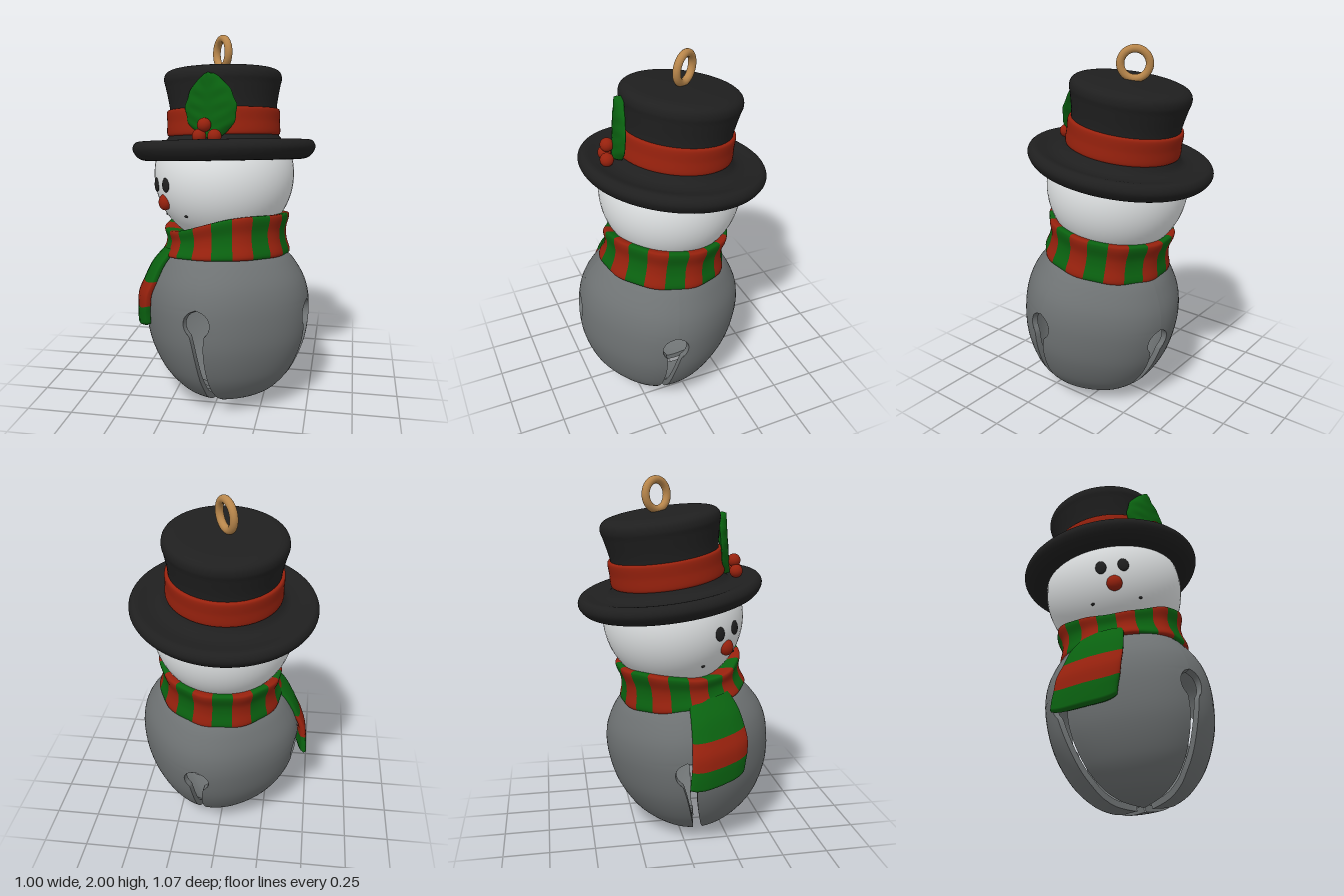
import * as THREE from 'three';

const mat = (name, color, side = THREE.FrontSide) => {
  const m = new THREE.MeshStandardMaterial({ color, side });
  m.name = name;
  return m;
};
const rad = THREE.MathUtils.degToRad;

// Surface from a rule fn(u, v) -> [x, y, z]; outside is du x dv
function grid(fn, nu, nv) {
  const pos = [], idx = [];
  for (let i = 0; i <= nu; i++)
    for (let j = 0; j <= nv; j++) pos.push(...fn(i / nu, j / nv));
  for (let i = 0; i < nu; i++)
    for (let j = 0; j < nv; j++) {
      const a = i * (nv + 1) + j, b = a + nv + 1;
      idx.push(a, b, b + 1, a, b + 1, a + 1);
    }
  const g = new THREE.BufferGeometry();
  g.setAttribute('position', new THREE.Float32BufferAttribute(pos, 3));
  g.setIndex(idx);
  g.computeVertexNormals();
  return g;
}

// Alternate two materials over equal bands along u
function stripe(g, bands) {
  const n = g.index.count / bands;
  for (let k = 0; k < bands; k++) g.addGroup(k * n, n, k % 2);
  return g;
}

const polar = (phi, r, y) => [Math.sin(phi) * r, y, Math.cos(phi) * r];
const spline = pts => new THREE.SplineCurve(pts.map(p => new THREE.Vector2(...p)));

export function createModel() {
  const black = mat('black', 0x1f1f1f), white = mat('white', 0xe2e5e6);
  const red = mat('red', 0x97210d), green = mat('green', 0x0a6210);
  const gold = mat('gold', 0xb8864b), grey = mat('bell grey', 0x6e7273, THREE.DoubleSide);

  const root = new THREE.Group();
  root.name = 'snowmanBell';
  const add = (parent, name, geo, material) => {
    const m = new THREE.Mesh(geo, material);
    m.name = name;
    parent.add(m);
    return m;
  };

  // The figure leans back and is turned towards its right
  const figure = new THREE.Group();
  figure.name = 'figure';
  figure.position.set(0.05, 0, 0.155);
  const up = new THREE.Vector3(0, 1, 0);
  figure.quaternion.setFromUnitVectors(up, new THREE.Vector3(-0.04, 1, -0.14).normalize())
    .multiply(new THREE.Quaternion().setFromAxisAngle(up, rad(-55)));
  root.add(figure);

  // Hollow bell body: four slightly flattened walls separated by keyhole slots
  const bell = new THREE.Group();
  bell.name = 'bellBody';
  bell.position.set(-0.012, 0, -0.009);
  figure.add(bell);
  const profile = spline([[0.04, 0.015], [0.13, 0.025], [0.2, 0.045], [0.28, 0.095], [0.37, 0.2],
    [0.44, 0.36], [0.464, 0.53], [0.45, 0.66], [0.4, 0.765], [0.33, 0.845], [0.2, 0.92], [0.001, 0.94]]);
  const slot = (r, t) => {
    const c = 0.51, head = Math.sqrt(Math.max(0, 0.072 ** 2 - (t - c) ** 2));
    const neck = t < c ? 0.021 + 0.036 * (t / c) ** 5 + 0.015 * Math.max(0, 1 - t / 0.12) : 0;
    return Math.min(Math.max(head, neck) / r, 0.7);
  };
  const shell = (k, u, v, s) => {
    const { x: r, y: t } = profile.getPoint(v);
    const w = slot(r, t);
    const phi = rad(45 + 90 * k) + w + u * (Math.PI / 2 - 2 * w);
    const flat = 1 - 0.048 * Math.cos(2 * phi) ** 2;
    return polar(phi, r * s * flat, 0.48 + (t - 0.48) * s);
  };
  for (let k = 0; k < 4; k++) {
    add(bell, 'bellOuterWall', grid((u, v) => shell(k, u, v, 1), 18, 110), grey);
    add(bell, 'bellInnerWall', grid((u, v) => shell(k, 1 - u, v, 0.93), 18, 110), grey);
    for (const e of [0, 1])
      add(bell, 'slotEdge', grid((u, v) => shell(k, e, v * 0.75, 0.93 + 0.07 * (e ? 1 - u : u)), 1, 85), grey);
  }

  // Head, cut off inside the hat brim
  const headR = 0.385, headY = 1.265;
  add(figure, 'head', new THREE.SphereGeometry(headR, 56, 32, 0, Math.PI * 2, rad(66), rad(114)), white)
    .position.y = headY;

  // Face
  const onHead = (name, phi, y, size, material) => {
    const m = add(figure, name, new THREE.SphereGeometry(1, 20, 14), material);
    m.position.set(...polar(rad(phi), Math.sqrt(headR ** 2 - (y - headY) ** 2), y));
    m.rotation.y = rad(phi);
    m.scale.set(...size);
  };
  onHead('rightEye', -6.5, 1.215, [0.03, 0.039, 0.012], black);
  onHead('leftEye', 11.5, 1.215, [0.03, 0.039, 0.012], black);
  onHead('nose', 2.5, 1.122, [0.042, 0.044, 0.034], red);
  for (const phi of [-21, 26]) onHead('mouthCorner', phi, 1.05, [0.01, 0.008, 0.006], black);

  // Scarf ring, lower and tighter under the face
  const section = spline([[0.28, 0.03], [0.335, -0.01], [0.355, 0.08], [0.338, 0.36],
    [0.335, 0.62], [0.352, 0.9], [0.335, 1.0], [0.23, 0.9]]);
  const scarf = grid((u, v) => {
    const phi = u * Math.PI * 2 + rad(35), p = section.getPoint(v);
    const face = Math.max(0, Math.cos(phi)) ** 2;
    const top = 1.05 - 0.085 * face;
    return polar(phi, p.x * (1 - 0.06 * face * (0.3 + p.y)) + 0.004 * Math.sin(phi * 10),
      0.825 + p.y * (top - 0.825));
  }, 120, 28);
  add(figure, 'scarf', stripe(scarf, 20), [red, green]);

  // Scarf tail: a flat strip over the body, its rear edge standing off
  const drape = spline([[0.31, 0.87], [0.385, 0.785], [0.435, 0.69], [0.468, 0.62], [0.478, 0.55],
    [0.482, 0.5], [0.483, 0.445]]);
  const tail = grid((u, v) => {
    const p = drape.getPoint(u), a = v * Math.PI * 2;
    const box = x => Math.sign(x) * Math.abs(x) ** 0.5;
    const side = box(Math.cos(a)), thick = u === 1 ? 0 : 0.024;
    const phi = rad(-17 - 10 * u) - rad(22 - 2 * u) * side;
    return polar(phi, p.x + thick * box(Math.sin(a)) + 0.038 * u * side - 0.012 * u * (1 - side * side),
      p.y + 0.012 * u * Math.cos(a * 2));
  }, 30, 40);
  add(figure, 'scarfTail', stripe(tail, 3), [green, red]);

  // Hat
  const lathe = (name, pts, material) =>
    add(figure, name, new THREE.LatheGeometry(spline(pts).getPoints(60), 72), material);
  lathe('hatBrim', [[0, 1.345], [0.25, 1.343], [0.4, 1.34], [0.465, 1.352], [0.5, 1.395], [0.495, 1.43],
    [0.465, 1.446], [0.39, 1.432], [0.33, 1.442], [0.29, 1.49]], black);
  lathe('hatCrown', [[0.3, 1.44], [0.293, 1.54], [0.294, 1.63], [0.312, 1.73], [0.322, 1.775], [0.312, 1.81],
    [0.275, 1.829], [0.2, 1.835], [0, 1.84]], black);
  lathe('hatBand', [[0.28, 1.473], [0.309, 1.48], [0.309, 1.545], [0.308, 1.607], [0.28, 1.615]], red);

  // Hanging loop
  add(figure, 'hangingLoop', new THREE.TorusGeometry(0.076, 0.021, 16, 40), gold).position.y = 1.923;

  // Holly leaf with soft wavy edge and raised veins
  const leaf = grid((u, v) => {
    const a = v * Math.PI * 2, c = Math.cos(a), s = Math.sin(a);
    const wide = 0.141 * Math.sin(Math.PI * u ** 0.85) ** 0.6 * (1 + 0.025 * Math.cos(u * 8 * Math.PI));
    const vein = 0.005 * Math.sin((u - 0.18 * Math.abs(c)) * 10 * Math.PI) * Math.abs(c) * (1 - c * c);
    const thick = u === 0 || u === 1 ? 0 : 0.017;
    return [wide * c, (u - 0.5) * 0.335, thick * s - 0.025 * c * c + vein];
  }, 48, 40);
  const leafMesh = add(root, 'hollyLeaf', leaf, green);
  leafMesh.position.set(-0.03, 1.645, 0.26);
  leafMesh.rotation.set(-0.08, rad(-11), rad(3));

  // Berries
  for (const p of [[-0.045, 1.553, 0.308], [-0.07, 1.498, 0.315], [0.012, 1.5, 0.33]])
    add(root, 'berry', new THREE.SphereGeometry(0.036, 20, 14), red).position.set(...p);

  return root;
}
